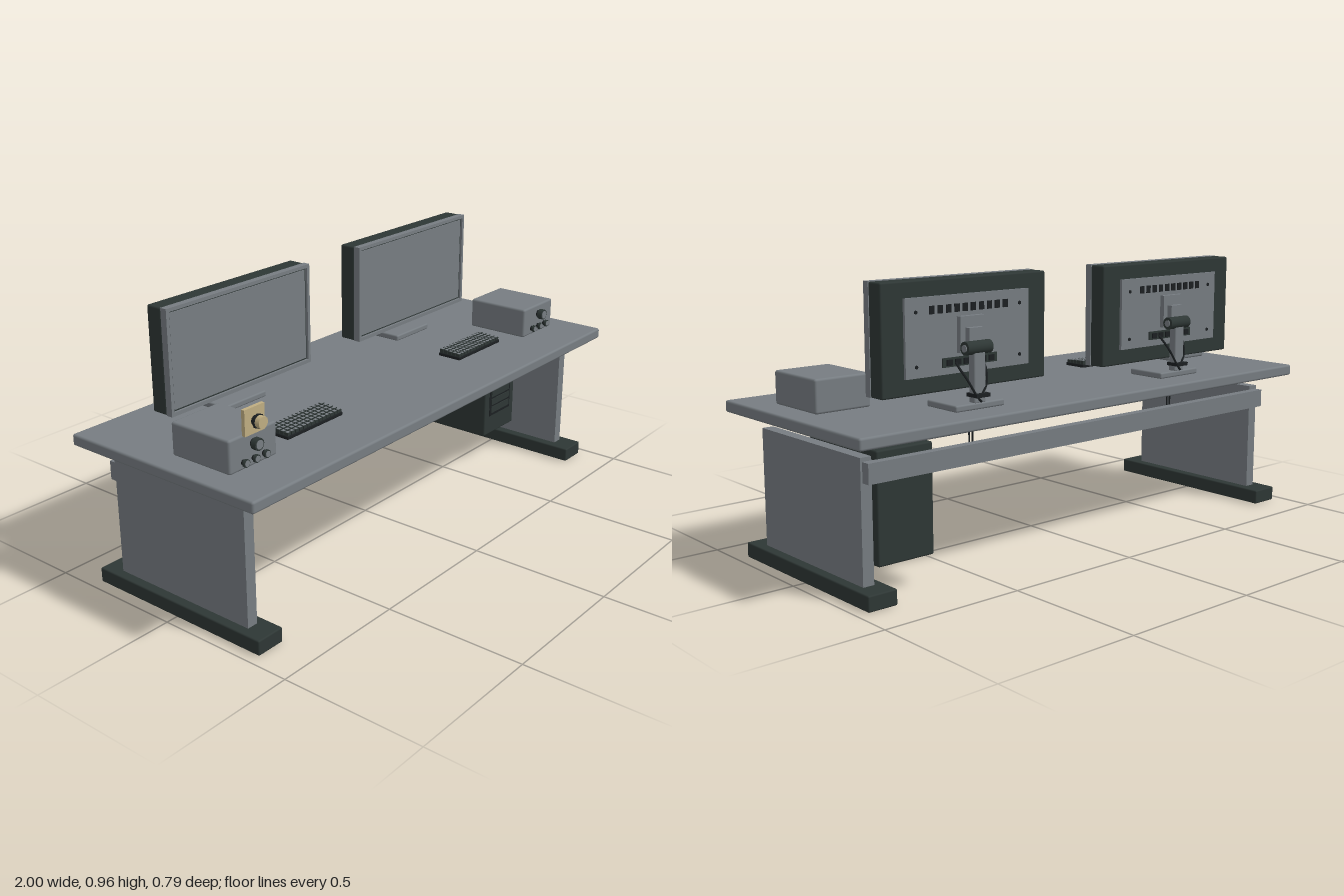
import * as THREE from 'three';
import { RoundedBoxGeometry } from 'three/addons/geometries/RoundedBoxGeometry.js';

const material = (name, color) => {
  const m = new THREE.MeshStandardMaterial({ color });
  m.name = name;
  return m;
};

export function createModel() {
  const grey = material('grey', 0x777d82);
  const dark = material('dark green grey', 0x2e3735);
  const black = material('black', 0x1c2022);
  const tan = material('tan', 0xc0ae82);

  const add = (parent, name, geometry, mat) => {
    const mesh = new THREE.Mesh(geometry, mat);
    mesh.name = name;
    parent.add(mesh);
    return mesh;
  };
  // Box given by its extents; r > 0 rounds the edges
  const box = (parent, name, mat, [x0, x1], [y0, y1], [z0, z1], r = 0) => {
    const size = [x1 - x0, y1 - y0, z1 - z0];
    const geo = r ? new RoundedBoxGeometry(...size, 2, r) : new THREE.BoxGeometry(...size);
    const mesh = add(parent, name, geo, mat);
    mesh.position.set((x0 + x1) / 2, (y0 + y1) / 2, (z0 + z1) / 2);
    return mesh;
  };
  // Disc or knob whose axis runs along z
  const disc = (parent, name, mat, x, y, z0, z1, r, sides = 16) => {
    const geo = new THREE.CylinderGeometry(r, r, z1 - z0, sides).rotateX(Math.PI / 2);
    const mesh = add(parent, name, geo, mat);
    mesh.position.set(x, y, (z0 + z1) / 2);
    return mesh;
  };
  const cable = (parent, name, points, r = 0.004) => {
    const curve = new THREE.CatmullRomCurve3(points.map((p) => new THREE.Vector3(...p)));
    return add(parent, name, new THREE.TubeGeometry(curve, 20, r, 6), black);
  };
  const group = (parent, name, x = 0) => {
    const g = new THREE.Group();
    g.name = name;
    g.position.x = x;
    parent.add(g);
    return g;
  };

  const model = group(new THREE.Group(), 'deskWorkstation');
  model.removeFromParent();

  // Desk: top, side panels, feet and rear beam
  const desk = group(model, 'desk');
  box(desk, 'desktop', grey, [-1, 1], [0.5, 0.54], [-0.395, 0.395], 0.008);
  box(desk, 'rearBeam', grey, [-0.92, 0.92], [0.375, 0.44], [-0.317, -0.285]);
  for (const s of [-1, 1]) {
    const side = group(desk, s < 0 ? 'rightLeg' : 'leftLeg', s * 0.907);
    box(side, 'sidePanel', grey, [-0.02, 0.02], [0.05, 0.453], [-0.285, 0.285]);
    box(side, 'foot', dark, [-0.053, 0.053], [0, 0.052], [-0.36, 0.36], 0.005);
  }

  // Computer tower with a slotted front
  const tower = group(model, 'computerTower', 0.765);
  box(tower, 'towerCase', dark, [-0.105, 0.105], [0.102, 0.465], [-0.287, 0.088], 0.006);
  box(tower, 'towerFront', black, [-0.073, 0.073], [0.18, 0.402], [0.085, 0.09]);
  for (let i = 0; i < 6; i++) {
    const y = 0.205 + i * 0.034;
    box(tower, 'towerSlat', dark, [-0.063, 0.063], [y - 0.013, y + 0.013], [0.088, 0.093]);
  }

  const addMonitor = (x) => {
    const m = group(model, 'monitor', x);
    const w = 0.333;
    // Front frame around a recessed screen
    const frame = new THREE.Shape([[-w, 0.6], [w, 0.6], [w, 0.958], [-w, 0.958]].map((p) => new THREE.Vector2(...p)));
    frame.holes.push(new THREE.Path(
      [[-w + 0.012, 0.613], [-w + 0.012, 0.946], [w - 0.012, 0.946], [w - 0.012, 0.613]].map((p) => new THREE.Vector2(...p))));
    const bezel = add(m, 'bezel', new THREE.ExtrudeGeometry(frame, { depth: 0.025, bevelEnabled: false }), grey);
    bezel.position.z = -0.16;
    box(m, 'screenBorder', dark, [-w + 0.01, w - 0.01], [0.611, 0.948], [-0.162, -0.144]);
    box(m, 'screen', grey, [-w + 0.018, w - 0.018], [0.619, 0.94], [-0.146, -0.141]);
    box(m, 'rearShell', dark, [-w, w], [0.6, 0.957], [-0.222, -0.16], 0.006);
    for (let i = 0; i < 4; i++) {
      box(m, 'button', black, [0.17 + i * 0.014, 0.178 + i * 0.014], [0.597, 0.602], [-0.155, -0.145]);
    }
    // Back plate with vents, screws and sockets
    box(m, 'backPlate', grey, [-0.25, 0.25], [0.655, 0.905], [-0.232, -0.22]);
    for (let i = 0; i < 10; i++) {
      const vx = (i - 4.5) * 0.033;
      box(m, 'vent', black, [vx - 0.01, vx + 0.01], [0.85, 0.876], [-0.235, -0.231]);
    }
    for (const sx of [-1, 1]) {
      for (const y of [0.69, 0.86]) disc(m, 'screw', black, sx * 0.21, y, -0.235, -0.231, 0.006, 8);
    }
    box(m, 'socketStrip', dark, [-0.11, 0.11], [0.678, 0.708], [-0.237, -0.231]);
    for (let i = 0; i < 6; i++) {
      const px = (i - 2.5) * 0.034;
      box(m, 'socket', black, [px - 0.011, px + 0.011], [0.683, 0.702], [-0.242, -0.236]);
    }
    // Stand: base, neck, mounting plate and hinge
    box(m, 'standBase', grey, [-0.1, 0.1], [0.54, 0.562], [-0.287, -0.135], 0.006);
    box(m, 'standNeck', grey, [-0.024, 0.024], [0.558, 0.75], [-0.285, -0.255], 0.006);
    box(m, 'mountPlate', grey, [-0.05, 0.05], [0.72, 0.836], [-0.25, -0.231]);
    box(m, 'mountArm', grey, [-0.03, 0.03], [0.715, 0.8], [-0.27, -0.249]);
    const hinge = add(m, 'hinge', new THREE.CylinderGeometry(0.022, 0.022, 0.1, 20).rotateZ(Math.PI / 2), dark);
    hinge.position.set(0, 0.737, -0.27);
    const pin = add(m, 'hingePin', new THREE.CylinderGeometry(0.012, 0.012, 0.106, 16).rotateZ(Math.PI / 2), grey);
    pin.position.copy(hinge.position);
    // Cables down the neck and below the desktop
    cable(m, 'signalCable', [[0.06, 0.69, -0.238], [0.065, 0.675, -0.262], [0.05, 0.64, -0.282], [0.02, 0.585, -0.293], [0, 0.565, -0.29]]);
    cable(m, 'powerCable', [[-0.04, 0.69, -0.238], [-0.042, 0.67, -0.26], [-0.03, 0.62, -0.28], [0, 0.585, -0.292]]);
    box(m, 'cableClip', black, [-0.028, 0.028], [0.58, 0.592], [-0.302, -0.25]);
    for (const cx of [-0.007, 0.007]) {
      cable(m, 'hangingCable', [[cx, 0.505, -0.235], [cx, 0.425, -0.235]], 0.003);
    }
  };

  const addKeyboard = (x) => {
    const k = group(model, 'keyboard', x);
    box(k, 'keyboardTray', black, [-0.135, 0.135], [0.54, 0.552], [0.083, 0.177], 0.003);
    const cols = 14, rows = 5;
    for (let r = 0; r < rows; r++) {
      for (let c = 0; c < cols; c++) {
        const kx = (c - (cols - 1) / 2) * 0.019;
        const kz = 0.13 + (r - (rows - 1) / 2) * 0.018;
        const top = 0.566 - r * 0.001;
        box(k, 'key', dark, [kx - 0.008, kx + 0.008], [0.55, top], [kz - 0.0075, kz + 0.0075]);
        box(k, 'keyTop', grey, [kx - 0.006, kx + 0.006], [top - 0.001, top + 0.001], [kz - 0.0055, kz + 0.0055]);
      }
    }
  };

  const addControlBox = (x) => {
    const b = group(model, 'controlBox', x);
    box(b, 'boxCase', grey, [-0.103, 0.103], [0.54, 0.652], [-0.022, 0.222], 0.008);
    const knob = (kx, y, r, z) => {
      disc(b, 'knobCollar', black, kx, y, 0.22, 0.232, r * 0.7);
      disc(b, 'knob', dark, kx, y, 0.23, z, r, 12);
      disc(b, 'knobFace', grey, kx, y, z - 0.002, z + 0.002, r * 0.75, 12);
    };
    knob(0, 0.615, 0.02, 0.249);
    for (const kx of [-0.045, 0, 0.045]) knob(kx, 0.566, 0.013, 0.239);
    return b;
  };

  for (const s of [-1, 1]) {
    addMonitor(s * 0.47 - 0.003);
    addKeyboard(s * 0.4725 - 0.002);
  }
  addControlBox(0.808);
  const rightBox = addControlBox(-0.812);

  // Small plate with a dial, standing on one control box
  const dial = group(rightBox, 'dialPlate');
  box(dial, 'plate', tan, [-0.043, 0.043], [0.648, 0.733], [0.219, 0.232]);
  disc(dial, 'dialStem', black, 0, 0.69, 0.23, 0.246, 0.016, 12);
  disc(dial, 'dialRim', black, 0, 0.69, 0.243, 0.25, 0.024, 8);
  disc(dial, 'dial', tan, 0, 0.69, 0.248, 0.267, 0.02, 12);

  return model;
}
